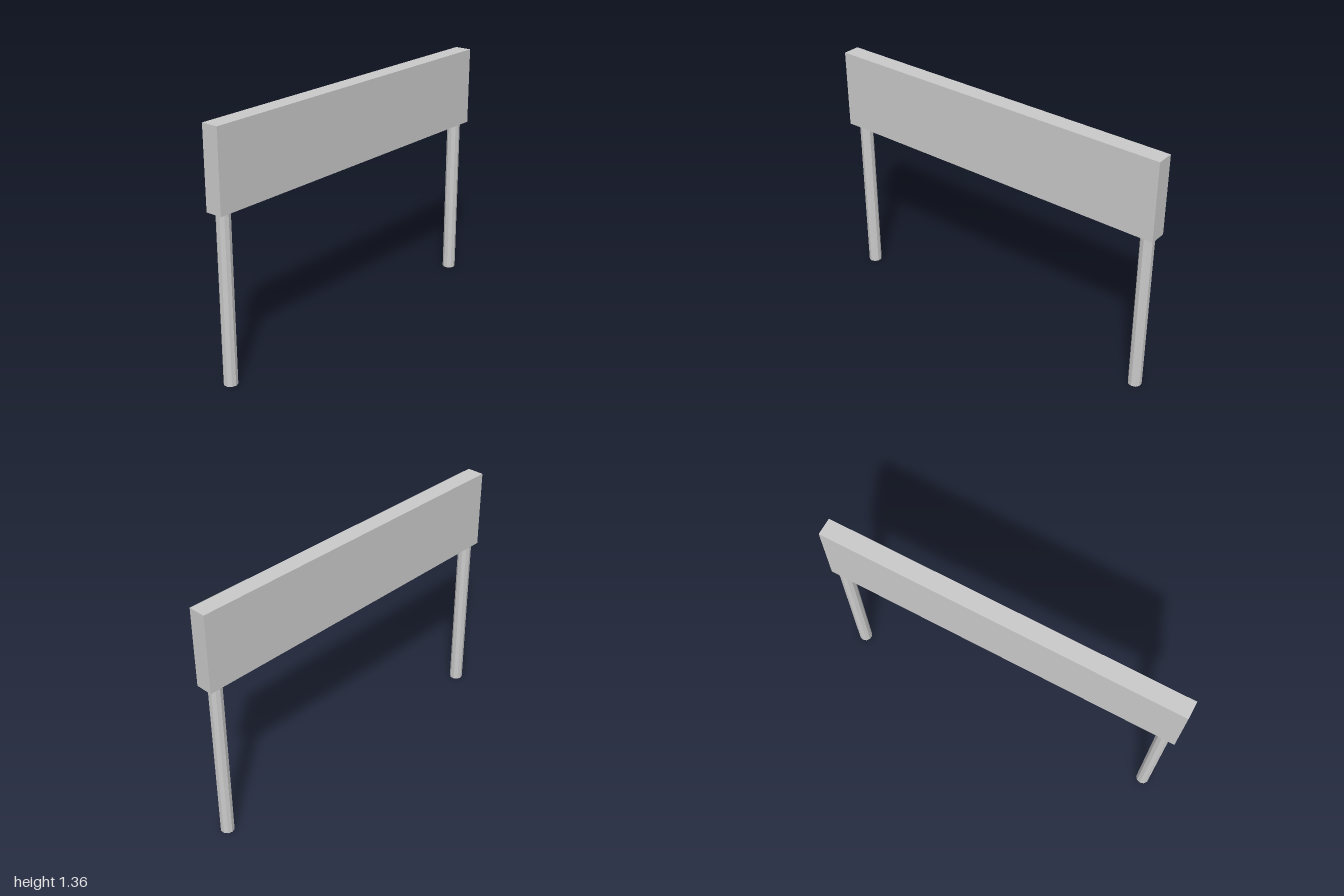
import * as THREE from 'three';

export function createModel() {
  const model = new THREE.Group();
  const material = new THREE.MeshStandardMaterial({ color: 0xcccccc, flatShading: true });
  const tilt = -0.0155; // the whole sign is turned slightly about y
  const boardBottom = 0.925, boardTop = 1.36;

  // Long flat panel
  const board = new THREE.Mesh(
    new THREE.BoxGeometry(0.096, boardTop - boardBottom, 1.9985), material);
  board.name = 'board';
  board.position.y = (boardBottom + boardTop) / 2;
  board.rotation.y = tilt;
  model.add(board);

  // Ten-sided posts, one near each end
  const postGeometry = new THREE.CylinderGeometry(0.037, 0.037, boardBottom, 10);
  postGeometry.rotateY(Math.PI / 2);
  for (const [name, x, z] of [['frontPost', -0.025, 0.93], ['backPost', 0.006, -0.94]]) {
    const post = new THREE.Mesh(postGeometry, material);
    post.name = name;
    post.position.set(x, boardBottom / 2, z);
    post.rotation.y = tilt;
    model.add(post);
  }
  return model;
}
